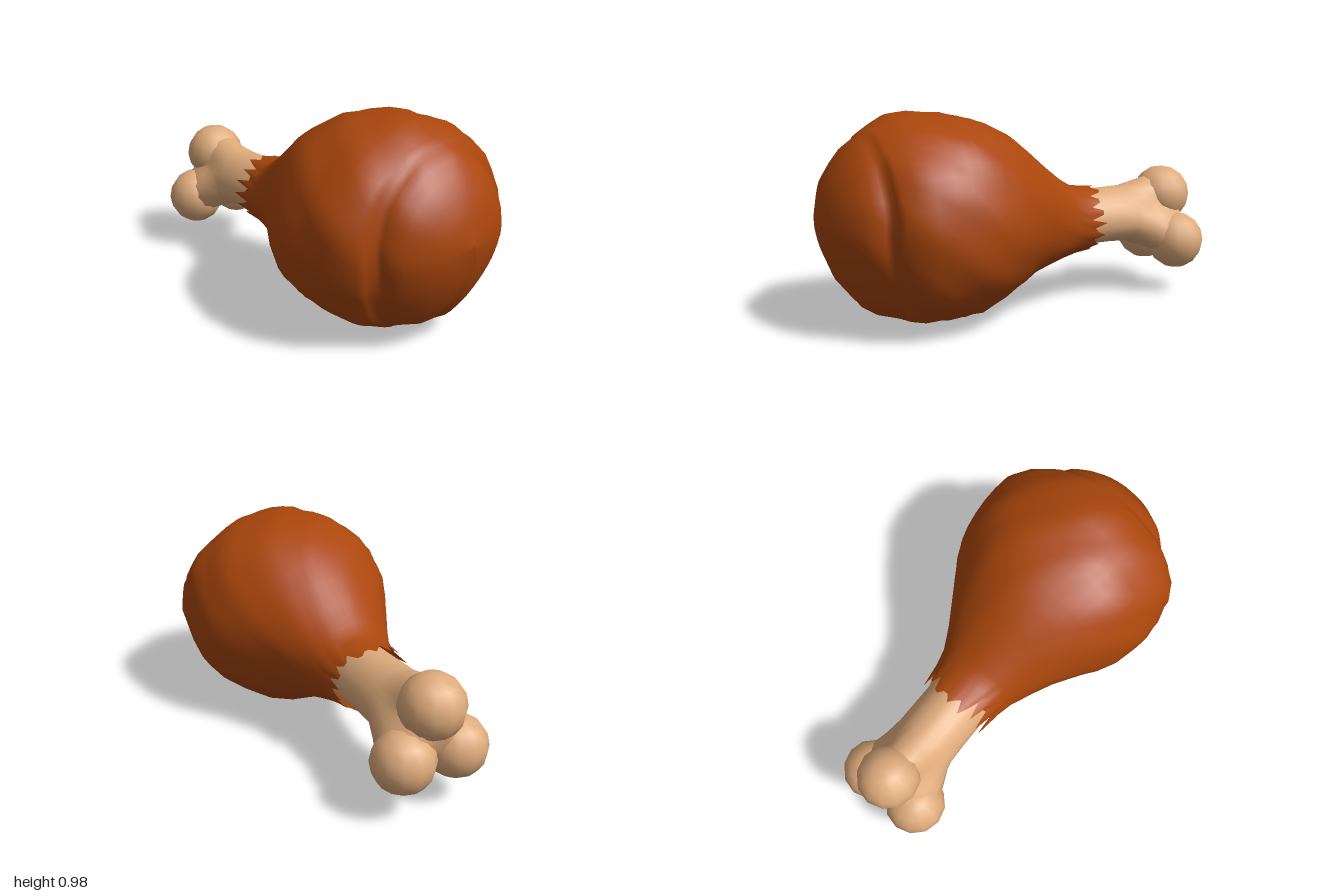
import * as THREE from 'three';

// Linear interpolation in a table of [z, value...] rows sorted by falling z
function sample(rows, z, k) {
  if (z >= rows[0][0]) return rows[0][k];
  for (let i = 1; i < rows.length; i++) {
    const a = rows[i - 1], b = rows[i];
    if (z >= b[0]) return a[k] + (b[k] - a[k]) * (a[0] - z) / (a[0] - b[0]);
  }
  return rows[rows.length - 1][k];
}

// Smooth closed skin over rings running front to back; point(i, angle, j) gives a vertex
function loft(rings, sides, point) {
  const pos = [], idx = [];
  for (let i = 0; i < rings; i++) {
    for (let j = 0; j < sides; j++) pos.push(...point(i, j / sides * Math.PI * 2, j));
  }
  for (let i = 0; i < rings - 1; i++) {
    for (let j = 0; j < sides; j++) {
      const k = (j + 1) % sides;
      const a = i * sides + j, b = i * sides + k, c = a + sides, d = b + sides;
      idx.push(a, c, b, b, c, d);
    }
  }
  const geo = new THREE.BufferGeometry();
  geo.setAttribute('position', new THREE.Float32BufferAttribute(pos, 3));
  geo.setIndex(idx);
  geo.computeVertexNormals();
  return geo;
}

// Outline of the meat: z, bottom y, top y
const HEIGHT = [
  [1, 0.5, 0.51], [0.985, 0.39, 0.62], [0.95, 0.28, 0.73], [0.86, 0.14, 0.85], [0.76, 0.07, 0.92],
  [0.65, 0.03, 0.975], [0.55, 0.015, 0.985], [0.42, 0.01, 0.985], [0.3, 0.03, 0.96], [0.2, 0.07, 0.92],
  [0.1, 0.12, 0.865], [0, 0.175, 0.79], [-0.1, 0.2, 0.71], [-0.2, 0.225, 0.635],
  [-0.28, 0.245, 0.59], [-0.4, 0.26, 0.575],
];
// Half width of the meat, with a step where the side folds meet the front lobe
const WIDTH = [
  [1, 0.005], [0.985, 0.13], [0.95, 0.23], [0.9, 0.305], [0.86, 0.34], [0.82, 0.355], [0.79, 0.36],
  [0.785, 0.42], [0.765, 0.45], [0.72, 0.49], [0.65, 0.52], [0.56, 0.53], [0.42, 0.53],
  [0.3, 0.5], [0.2, 0.45], [0.1, 0.385], [0, 0.32], [-0.1, 0.265], [-0.2, 0.215],
  [-0.28, 0.195], [-0.4, 0.175],
];
const RINGS = [1, 0.985, 0.95, 0.9, 0.86, 0.82, 0.79, 0.785, 0.765, 0.72, 0.65, 0.56, 0.48, 0.42,
  0.36, 0.3, 0.2, 0.1, 0, -0.1, -0.2, -0.28, -0.36];

function meatGeometry() {
  const sides = 48;
  return loft(RINGS.length, sides, (i, a, j) => {
    const t = RINGS[i], s = Math.sin(a), c = Math.cos(a);
    // the fold sweeps backwards underneath
    const bump = Math.max(0, 1 - Math.abs(t - 0.79) / 0.21);
    let z = t - (s < 0 ? 0.15 * s * s * bump : 0);
    const lo = sample(HEIGHT, z, 1), hi = sample(HEIGHT, z, 2);
    const size = sample(WIDTH, t, 1);
    // lumpy skin
    const lump = 1 + Math.min(1, size * 2) * (0.012 * Math.sin(5 * a + 9 * z)
      + 0.008 * Math.sin(11 * a - 17 * z) + 0.006 * Math.sin(17 * a + 31 * z)) - 0.004;
    const x = size * c * lump;
    let y = (lo + hi) / 2 + (hi - lo) / 2 * s * lump;
    // small cleft along the underside
    if (s < -0.9 && t > 0.3) y += 0.02 * Math.exp(-((x / 0.03) ** 2));
    // torn rim around the bone
    if (i === RINGS.length - 1) {
      z += j % 3 === 0 ? -0.035 : j % 3 === 1 ? 0.035 : 0.01;
      z += 0.025 * Math.sin(j * 2.3) - (s > 0.85 ? 0.04 : 0);
    }
    return [x, Math.max(0.002, y), z];
  });
}

// Directions of the three knuckles around the shaft axis
const BONE_Y = 0.42;
const KNOBS = [
  { name: 'topKnob', x: 0, y: 0.505, z: -0.85, r: 0.15 },
  { name: 'leftKnob', x: 0.135, y: 0.28, z: -0.85, r: 0.145 },
  { name: 'rightKnob', x: -0.135, y: 0.28, z: -0.85, r: 0.145 },
];

function shaftGeometry() {
  const zs = [-0.1, -0.35, -0.5, -0.6, -0.68, -0.74, -0.8, -0.88, -0.92, -0.93];
  return loft(zs.length, 24, (i, a) => {
    const z = zs[i], s = Math.sin(a), c = Math.cos(a);
    const flare = THREE.MathUtils.smoothstep(-z, 0.56, 0.8);
    let lobe = 0;
    for (const k of KNOBS) {
      const d = Math.atan2(k.y - BONE_Y, k.x);
      const reach = k.x === 0 ? 0.07 : 0.14;
      lobe += reach * Math.max(0, Math.cos(a - d)) ** 4;
    }
    const ridge = 0.006 * Math.sin(3 * a + Math.PI);
    let r = 0.148 + ridge + flare * (lobe - 0.02);
    if (i > 6) r *= [0.85, 0.5, 0.01][i - 7];
    return [r * c * (1 + 0.06 * (1 - flare)), BONE_Y + r * s * 0.95, z];
  });
}

export function createModel() {
  const meat = new THREE.MeshStandardMaterial({ color: 0xaa460c, side: THREE.DoubleSide });
  meat.name = 'roasted meat';
  const bone = new THREE.MeshStandardMaterial({ color: 0xdfab7c });
  bone.name = 'bone';

  const model = new THREE.Group();
  model.name = 'drumstick';
  const add = (name, geo, mat, parent = model) => {
    const mesh = new THREE.Mesh(geo, mat);
    mesh.name = name;
    parent.add(mesh);
    return mesh;
  };

  add('meat', meatGeometry(), meat);

  // Bone with a three-knuckled end
  const boneGroup = new THREE.Group();
  boneGroup.name = 'bone';
  model.add(boneGroup);
  add('shaft', shaftGeometry(), bone, boneGroup);
  for (const k of KNOBS) {
    const knob = add(k.name, new THREE.SphereGeometry(k.r, 12, 8), bone, boneGroup);
    knob.position.set(k.x, k.y, k.z);
  }
  return model;
}
